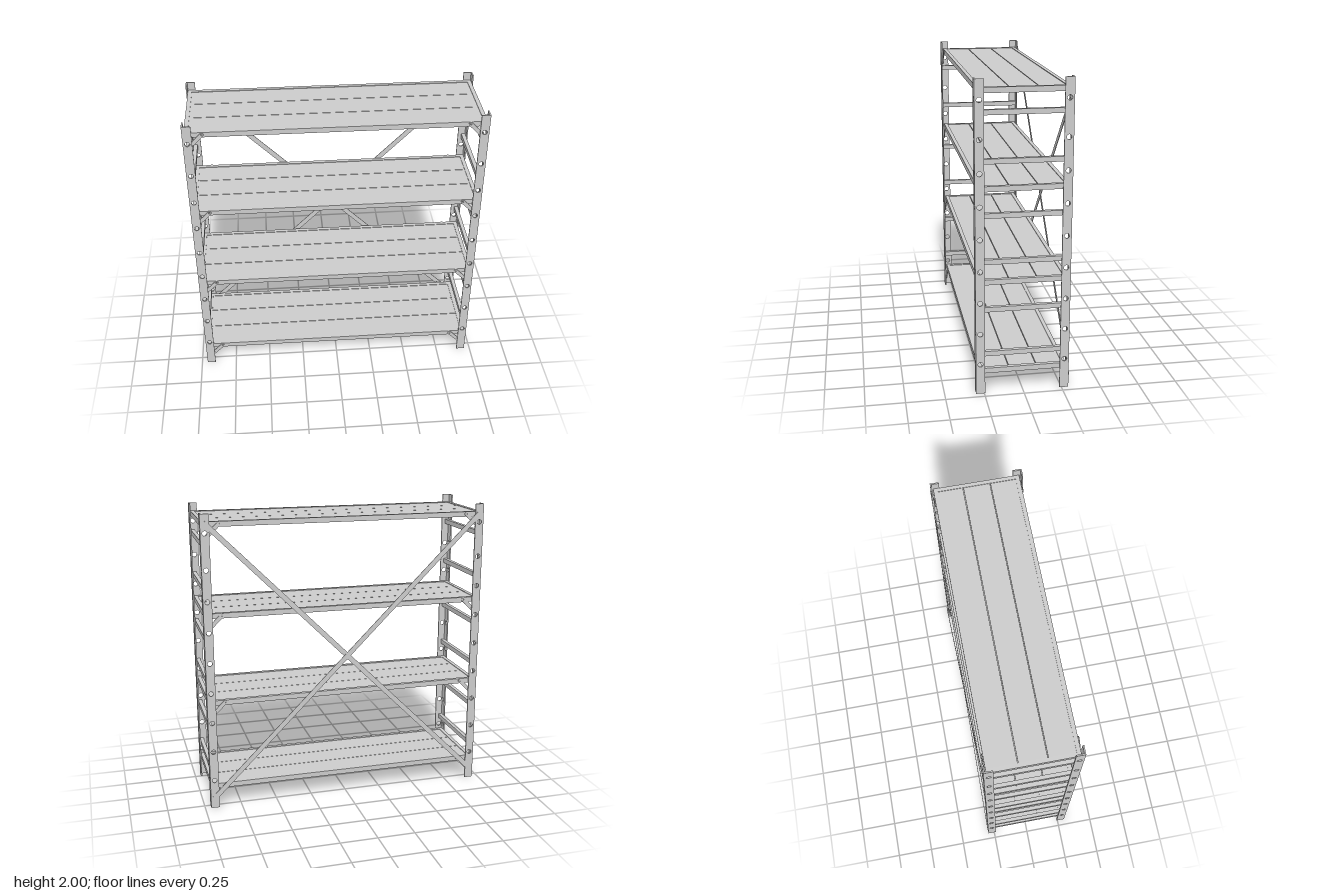
import * as THREE from 'three';

const mat = new THREE.MeshStandardMaterial({ color: 0xcccccc, side: THREE.DoubleSide });

const POST_X = 0.96, POST_FRONT = 0.302, POST_BACK = -0.295;
const LEG = 0.058, T = 0.009;
const SHELF_TOPS = [0.168, 0.762, 1.355, 1.948];
const SHELF_H = 0.034, SHELF_X = 0.95, SHELF_Z0 = -0.278, SHELF_Z1 = 0.284;
const RUNGS = [0.268, 0.565, 0.877, 1.171, 1.507, 1.801];
const HOLES = [0, 1, 2, 3, 4, 5, 6, 7].map(i => 0.2 + i * 0.206).concat(1.877);

function add(parent, name, geometry) {
  const mesh = new THREE.Mesh(geometry, mat);
  mesh.name = name;
  parent.add(mesh);
  return mesh;
}

// Box given by its lower and upper corners
function box(parent, name, [x0, y0, z0], [x1, y1, z1]) {
  const mesh = add(parent, name, new THREE.BoxGeometry(x1 - x0, y1 - y0, z1 - z0));
  mesh.position.set((x0 + x1) / 2, (y0 + y1) / 2, (z0 + z1) / 2);
  return mesh;
}

function circle(x, y, r) {
  return new THREE.Path().absarc(x, y, r, 0, Math.PI * 2, true);
}

// Upright strip from a to b with a column of bolt holes at h
function perforatedStrip(a, b, h) {
  const x0 = Math.min(a, b), x1 = Math.max(a, b);
  const shape = new THREE.Shape();
  shape.moveTo(x0, 0).lineTo(x1, 0).lineTo(x1, 2).lineTo(x0, 2).closePath();
  for (const y of HOLES) shape.holes.push(circle(h, y, 0.016));
  return new THREE.ExtrudeGeometry(shape, { depth: T, bevelEnabled: false, curveSegments: 12 });
}

// L-section corner post
function makePost(sx, sz) {
  const post = new THREE.Group();
  post.name = 'cornerPost';
  const x = sx * POST_X, z = sz > 0 ? POST_FRONT : POST_BACK;
  const wide = perforatedStrip(x, x - sx * LEG, x - sx * LEG / 2);
  wide.translate(0, 0, sz > 0 ? z - T : z);
  add(post, 'postFaceLeg', wide);
  const side = perforatedStrip(z - sz * T, z - sz * LEG, z - sz * LEG / 2);
  side.rotateY(-Math.PI / 2);
  side.translate(sx > 0 ? x : x + T, 0, 0);
  add(post, 'postSideLeg', side);
  return post;
}

// Rim frame with three planks and narrow gaps between them
function makeShelf(top) {
  const shelf = new THREE.Group();
  shelf.name = 'shelf';
  const low = top - SHELF_H, rim = 0.026, X = SHELF_X;
  box(shelf, 'frontBeam', [-X, low, SHELF_Z1 - rim], [X, top, SHELF_Z1]);
  box(shelf, 'backBeam', [-X, low, SHELF_Z0], [X, top, SHELF_Z0 + rim]);
  for (const s of [-1, 1]) {
    const a = s * X, b = s * (X - rim);
    box(shelf, 'endBeam', [Math.min(a, b), low, SHELF_Z0 + rim], [Math.max(a, b), top, SHELF_Z1 - rim]);
  }
  const edges = [SHELF_Z0 + rim, -0.087, 0.09, SHELF_Z1 - rim];
  const gap = 0.002, ends = X - rim;
  for (let i = 0; i < 3; i++) {
    const z0 = edges[i] + (i > 0 ? gap : 0), z1 = edges[i + 1] - (i < 2 ? gap : 0);
    box(shelf, 'plank', [-ends, low + 0.003, z0], [ends, top - 0.004, z1]);
  }
  // Web that closes the plank gaps
  box(shelf, 'deckWeb', [-ends, low + 0.012, edges[0]], [ends, top - 0.014, edges[3]]);
  return shelf;
}

// Short diagonal strap with a rounded, drilled end, running down to the post
function gussetGeometry() {
  const r = 0.013, len = 0.125;
  const shape = new THREE.Shape();
  shape.moveTo(-len, -r).lineTo(0, -r);
  shape.absarc(0, 0, r, -Math.PI / 2, Math.PI / 2, false);
  shape.lineTo(-len, r).closePath();
  shape.holes.push(circle(0, 0, 0.005));
  const g = new THREE.ExtrudeGeometry(shape, { depth: 0.006, bevelEnabled: false, curveSegments: 8 });
  return g.rotateZ(Math.PI / 4);
}

export function createModel() {
  const model = new THREE.Group();
  model.name = 'shelvingRack';

  for (const sx of [-1, 1]) for (const sz of [-1, 1]) model.add(makePost(sx, sz));
  for (const top of SHELF_TOPS) model.add(makeShelf(top));

  // Side ladder rungs
  for (const sx of [-1, 1]) for (const y of RUNGS) {
    const a = sx * 0.951, b = sx * 0.925;
    box(model, 'sideRung', [Math.min(a, b), y - 0.016, POST_BACK + T], [Math.max(a, b), y + 0.016, POST_FRONT - T]);
  }

  // Shelf gussets at every post
  const gusset = gussetGeometry();
  for (const top of SHELF_TOPS) for (const sx of [-1, 1]) for (const z of [0.286, -0.286]) {
    const strap = add(model, 'gusset', gusset);
    // A half turn about y mirrors the strap to the other end
    if (sx > 0) strap.rotation.y = Math.PI;
    strap.position.set(sx * 0.84, top - 0.014, sx > 0 ? z + 0.006 : z);
  }

  // Crossed braces on the back
  for (const s of [-1, 1]) {
    const brace = add(model, 'backBrace', new THREE.BoxGeometry(2.65, 0.034, 0.0035));
    brace.position.set(0, 1.008, s > 0 ? -0.2968 : -0.3003);
    brace.rotation.z = s * Math.PI / 4;
  }
  return model;
}
